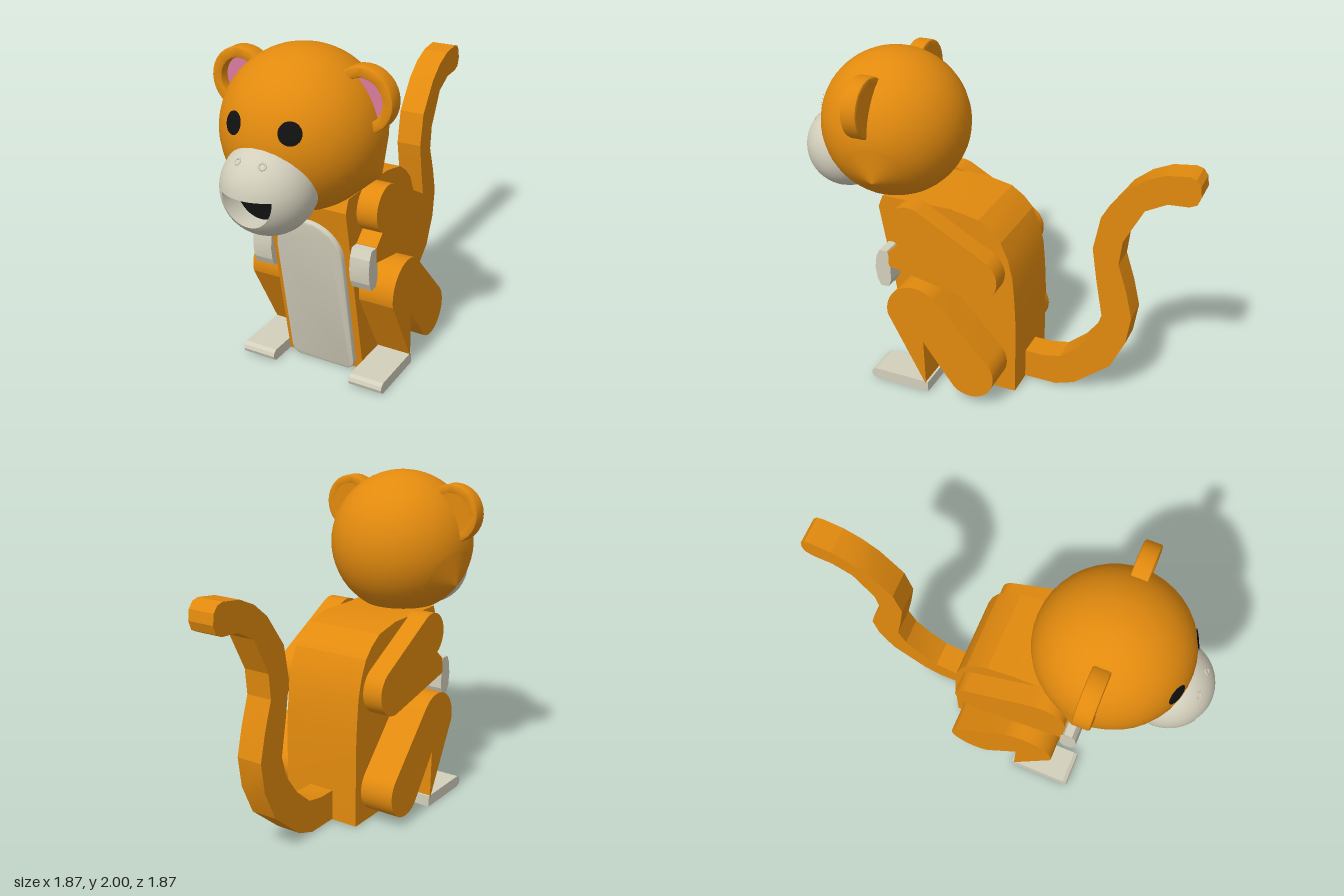
import * as THREE from 'three';
import { toCreasedNormals } from 'three/addons/utils/BufferGeometryUtils.js';

const paint = (name, color) => {
  const m = new THREE.MeshStandardMaterial({ color });
  m.name = name;
  return m;
};

export function createModel() {
  const fur = paint('orange fur', 0xe28a0e);
  const cream = paint('cream', 0xd3cfbc);
  const black = paint('black', 0x111111);
  const pink = paint('pink', 0xd97a9c);

  const model = new THREE.Group();
  model.name = 'monkey';
  const monkey = new THREE.Group(); // built facing +z, then turned
  monkey.name = 'turnedMonkey';
  monkey.rotation.y = -Math.PI / 4;
  model.add(monkey);

  const add = (name, geo, mat, parent = monkey) => {
    const mesh = new THREE.Mesh(geo, mat);
    mesh.name = name;
    parent.add(mesh);
    return mesh;
  };
  const poly = pts => new THREE.Shape(pts.map(p => new THREE.Vector2(...p)));

  // Side profile given as (z, y), extruded across from x0 to x1
  const slab = (shape, x0, x1) => {
    const geo = new THREE.ExtrudeGeometry(shape, { depth: x1 - x0, bevelEnabled: false, curveSegments: 14 });
    geo.rotateY(-Math.PI / 2).translate(x1, 0, 0);
    return toCreasedNormals(geo, 0.3);
  };

  // Body
  add('body', slab(poly([
    [0.435, 0.005], [0.63, 1.1], [0.6, 1.175], [0.15, 1.175], [-0.02, 1.14], [-0.1, 1.085],
    [-0.16, 1.02], [-0.205, 0.92], [-0.235, 0.8], [-0.25, 0.64], [-0.26, 0.46], [-0.26, 0.005],
  ]), -0.252, 0.252), fur);

  // Belly plate with a round top, leaning with the chest
  const bellyShape = new THREE.Shape();
  bellyShape.moveTo(-0.16, 0);
  bellyShape.lineTo(0.16, 0);
  bellyShape.quadraticCurveTo(0.2, 0.01, 0.2, 0.06);
  bellyShape.lineTo(0.2, 0.79);
  bellyShape.absarc(0, 0.79, 0.2, 0, Math.PI);
  bellyShape.lineTo(-0.2, 0.06);
  bellyShape.quadraticCurveTo(-0.2, 0.01, -0.16, 0);
  const belly = add('belly', toCreasedNormals(new THREE.ExtrudeGeometry(bellyShape, {
    depth: 0.04, bevelThickness: 0.012, bevelSize: 0.012, bevelSegments: 2, curveSegments: 12,
  }), 0.5), cream);
  belly.position.set(0, 0.022, 0.42);
  belly.rotation.x = 0.172;

  // Tail: lower edge out to the tip, upper edge back to the body
  add('tail', slab(poly([
    [-0.25, 0.008], [-0.463, 0.008], [-0.582, 0.05], [-0.8, 0.233], [-0.885, 0.42], [-0.911, 0.603],
    [-0.87, 0.77], [-0.814, 0.94], [-0.829, 1.09], [-0.941, 1.307], [-1.061, 1.372], [-1.18, 1.38],
    [-1.222, 1.4], [-1.24, 1.45], [-1.232, 1.51], [-1.205, 1.545], [-1.166, 1.556], [-1.04, 1.54],
    [-0.93, 1.49], [-0.829, 1.407], [-0.695, 1.217], [-0.657, 1.01], [-0.69, 0.8], [-0.732, 0.577],
    [-0.69, 0.44], [-0.6, 0.317], [-0.485, 0.217], [-0.373, 0.195], [-0.25, 0.195],
  ]), -0.082, 0.082), fur);

  // Limb profiles
  const legShape = new THREE.Shape();
  legShape.moveTo(0.38, 0.05);
  legShape.absarc(0.3, 0.54, 0.185, -0.2, 2.39);
  legShape.absarc(-0.05, 0.21, 0.155, 2.39, 5.41);
  legShape.lineTo(0.25, 0.36);
  legShape.lineTo(0.24, 0.05);

  const armShape = new THREE.Shape();
  armShape.moveTo(0.21, 0.865);
  armShape.absarc(0.37, 1.057, 0.14, -1.05, 2.1);
  armShape.absarc(-0.04, 0.82, 0.148, 2.1, 4.85);
  armShape.lineTo(0.51, 0.782);
  armShape.lineTo(0.51, 0.875);

  const footShape = poly([
    [0.227, 0], [0.59, 0], [0.612, 0.012], [0.62, 0.034], [0.612, 0.056], [0.59, 0.07], [0.227, 0.07],
  ]);
  const handShape = poly([
    [0.52, 0.635], [0.57, 0.635], [0.592, 0.68], [0.602, 0.755], [0.592, 0.83], [0.57, 0.877],
    [0.52, 0.877], [0.5, 0.83], [0.5, 0.68],
  ]);

  for (const [side, s] of [['left', 1], ['right', -1]]) {
    const limb = (name, shape, inner, outer, mat) =>
      add(side + name, slab(shape, Math.min(s * inner, s * outer), Math.max(s * inner, s * outer)), mat);
    limb('Leg', legShape, 0.245, 0.467, fur);
    limb('Foot', footShape, 0.255, 0.467, cream);
    limb('Arm', armShape, 0.245, 0.377, fur);
    limb('Hand', handShape, 0.255, 0.377, cream);
  }

  // Head
  const head = new THREE.Group();
  head.name = 'head';
  head.position.set(0, 1.555, 0.62);
  monkey.add(head);
  add('skull', new THREE.SphereGeometry(0.447, 40, 28), fur, head);

  const up = new THREE.Vector3(0, 1, 0);
  const aim = (mesh, dir) => mesh.quaternion.setFromUnitVectors(up, dir.clone().normalize());

  for (const [side, s] of [['left', 1], ['right', -1]]) {
    // Cheek point that rises smoothly from the skull
    const cheekDir = new THREE.Vector3(s * 0.43, -0.22, -0.06).normalize();
    const cheek = add(side + 'Cheek', new THREE.ConeGeometry(0.2, 0.088, 28, 1, true), fur, head);
    aim(cheek, cheekDir);
    cheek.position.copy(cheekDir).multiplyScalar(0.444);

    // Eye: thin cap that follows the skull
    const eye = add(side + 'Eye', new THREE.SphereGeometry(0.452, 24, 4, 0, Math.PI * 2, 0, 0.137), black, head);
    aim(eye, new THREE.Vector3(s * 0.164, 0.117, 0.396));

    // Ear: ring with a solid back and a pink hollow
    const ear = new THREE.Group();
    ear.name = side + 'Ear';
    ear.position.set(s * 0.365, 0.212, -0.048);
    head.add(ear);
    const ringShape = new THREE.Shape().absarc(0, 0, 0.166, 0, Math.PI * 2);
    ringShape.holes.push(new THREE.Path().absarc(0, 0, 0.13, 0, Math.PI * 2, true));
    const ring = new THREE.ExtrudeGeometry(ringShape, {
      depth: 0.076, bevelThickness: 0.012, bevelSize: 0.012, bevelSegments: 2, curveSegments: 16,
    });
    add(side + 'EarRim', toCreasedNormals(ring.translate(0, 0, 0.012), 0.6), fur, ear);
    const back = new THREE.CylinderGeometry(0.15, 0.15, 0.04, 32).rotateX(Math.PI / 2).translate(0, 0, 0.021);
    add(side + 'EarBack', back, fur, ear);
    add(side + 'InnerEar', new THREE.CircleGeometry(0.125, 28).translate(0, 0, 0.044), pink, ear);
  }

  // Muzzle: sphere whose front is open around a D-shaped mouth pocket
  const muzzle = new THREE.Group();
  muzzle.name = 'muzzle';
  muzzle.position.set(0, 1.345, 0.963);
  monkey.add(muzzle);
  const R = 0.256, N = 48, FRONT = 12, BACK = 8, pocketZ = 0.09;
  const lip = t => [0.147 * Math.cos(t), 0.015 + Math.min(0, 0.165 * Math.sin(t))];
  const pos = [], idx = [];
  for (let j = 0; j <= 1 + FRONT + BACK; j++) {
    for (let i = 0; i < N; i++) {
      const t = (i / N) * Math.PI * 2, [lx, ly] = lip(t);
      const ox = R * Math.cos(t), oy = R * Math.sin(t);
      if (j === 0) pos.push(lx, ly, pocketZ); // pocket wall
      else if (j <= 1 + FRONT) { // front half
        const k = Math.sin(((j - 1) / FRONT) * Math.PI / 2);
        const x = lx + (ox - lx) * k, y = ly + (oy - ly) * k;
        pos.push(x, y, Math.sqrt(Math.max(0, R * R - x * x - y * y)));
      } else { // back half
        const a = ((j - 1 - FRONT) / BACK) * Math.PI / 2;
        pos.push(ox * Math.cos(a), oy * Math.cos(a), -R * Math.sin(a));
      }
      if (j > 0) {
        const n = (i + 1) % N, a = (j - 1) * N + i, b = (j - 1) * N + n, c = j * N + i, d = j * N + n;
        idx.push(a, c, b, b, c, d);
      }
    }
  }
  const muzzleGeo = new THREE.BufferGeometry();
  muzzleGeo.setAttribute('position', new THREE.Float32BufferAttribute(pos, 3));
  muzzleGeo.setIndex(idx);
  add('snout', toCreasedNormals(muzzleGeo, 0.6), cream, muzzle);

  // Dark back of the mouth
  const mouthPts = [];
  for (let i = 0; i <= 24; i++) mouthPts.push(lip(Math.PI * (1 + i / 24)));
  add('mouth', new THREE.ShapeGeometry(poly(mouthPts)).translate(0, 0, pocketZ + 0.002), black, muzzle);

  // Nostril rims
  for (const s of [1, -1]) {
    const dir = new THREE.Vector3(s * 0.072, 0.178, 0.168).normalize();
    const rim = add(s > 0 ? 'leftNostril' : 'rightNostril',
      new THREE.TorusGeometry(0.018, 0.005, 6, 16).rotateX(Math.PI / 2), cream, muzzle);
    aim(rim, dir);
    rim.position.copy(dir).multiplyScalar(R - 0.001);
  }

  return model;
}
